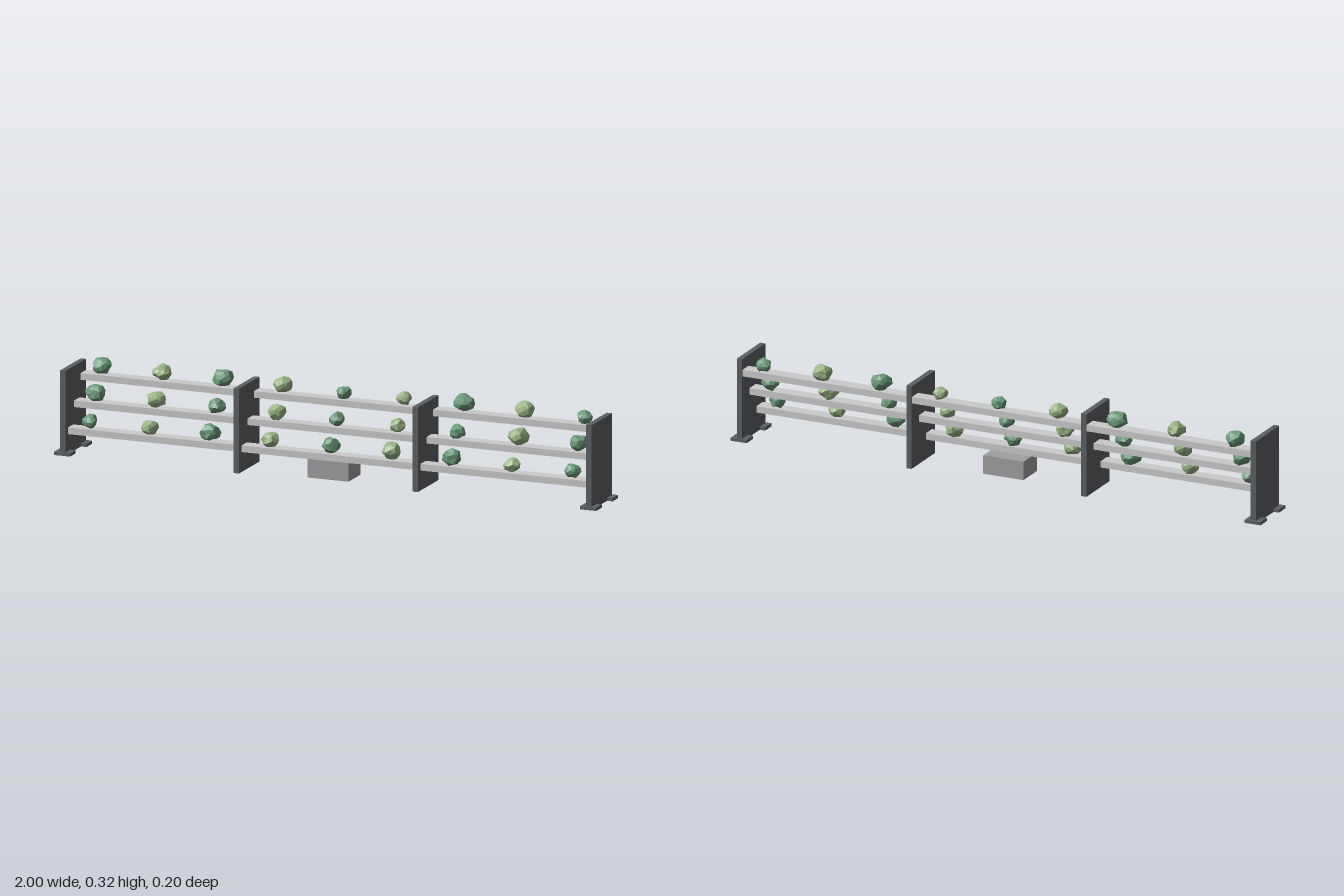
import * as THREE from 'three';

const material = (color) => new THREE.MeshStandardMaterial({ color, flatShading: true });

// Repeatable 0..1 value for a direction and seed, so shared corners move together
function hash(v, seed) {
  const r = (n) => Math.round(n * 100);
  const s = Math.sin(r(v.x) * 1.27 + r(v.y) * 3.11 + r(v.z) * 7.47 + seed * 12.9898) * 4375.85;
  return s - Math.floor(s);
}

// Leafy clump: a faceted ball with uneven radii
function plantGeometry(radius, seed) {
  const geometry = new THREE.IcosahedronGeometry(1, 1);
  const pos = geometry.attributes.position;
  const v = new THREE.Vector3();
  for (let i = 0; i < pos.count; i++) {
    v.fromBufferAttribute(pos, i);
    v.multiplyScalar(radius * (0.84 + 0.3 * hash(v, seed)));
    pos.setXYZ(i, v.x, v.y * 0.88, v.z);
  }
  geometry.computeVertexNormals();
  return geometry;
}

export function createModel() {
  const model = new THREE.Group();
  model.name = 'tieredPlanter';
  const panelMat = material(0x5c6064);
  const railMat = material(0xcccccc);
  const tankMat = material(0xa0a0a0);
  const greens = [material(0x6a9a78), material(0x9ab584)];

  const box = (name, size, position, mat) => {
    const mesh = new THREE.Mesh(new THREE.BoxGeometry(...size), mat);
    mesh.name = name;
    mesh.position.set(...position);
    model.add(mesh);
  };

  // Upright panels
  for (const x of [-0.97, -0.33, 0.33, 0.97]) {
    box(Math.abs(x) > 0.5 ? 'endPanel' : 'middlePanel', [0.02, 0.297, 0.182], [x, 0.1485, 0.005], panelMat);
  }

  // Feet under the end panels
  for (const x of [-0.97, 0.97]) {
    for (const z of [-0.067, 0.077]) {
      box('foot', [0.06, 0.011, 0.05], [x, 0.0055, z], panelMat);
    }
  }

  // Stepped rails, lowest at the front, each with a row of plants
  const tiers = [
    { y: 0.082, z: 0.05, radii: [0.028, 0.029, 0.034, 0.031, 0.031, 0.035, 0.033, 0.028, 0.028] },
    { y: 0.164, z: -0.005, radii: [0.035, 0.032, 0.03, 0.031, 0.028, 0.027, 0.028, 0.035, 0.033] },
    { y: 0.247, z: -0.06, radii: [0.032, 0.032, 0.035, 0.031, 0.026, 0.026, 0.035, 0.033, 0.027] },
  ];
  tiers.forEach(({ y, z, radii }, row) => {
    box('rail', [1.94, 0.023, 0.048], [0, y, z], railMat);
    radii.forEach((radius, i) => {
      const seed = row * 9 + i + 1;
      const plant = new THREE.Mesh(plantGeometry(radius, seed), greens[i % 2]);
      plant.name = 'plant';
      plant.position.set((i - 4) * 0.2225, y + 0.012 + radius * 0.82, z - 0.002);
      plant.rotation.y = seed * 1.7;
      model.add(plant);
    });
  });

  // Water tank below the lowest rail
  box('tank', [0.152, 0.066, 0.107], [-0.002, 0.0375, 0.018], tankMat);

  return model;
}
